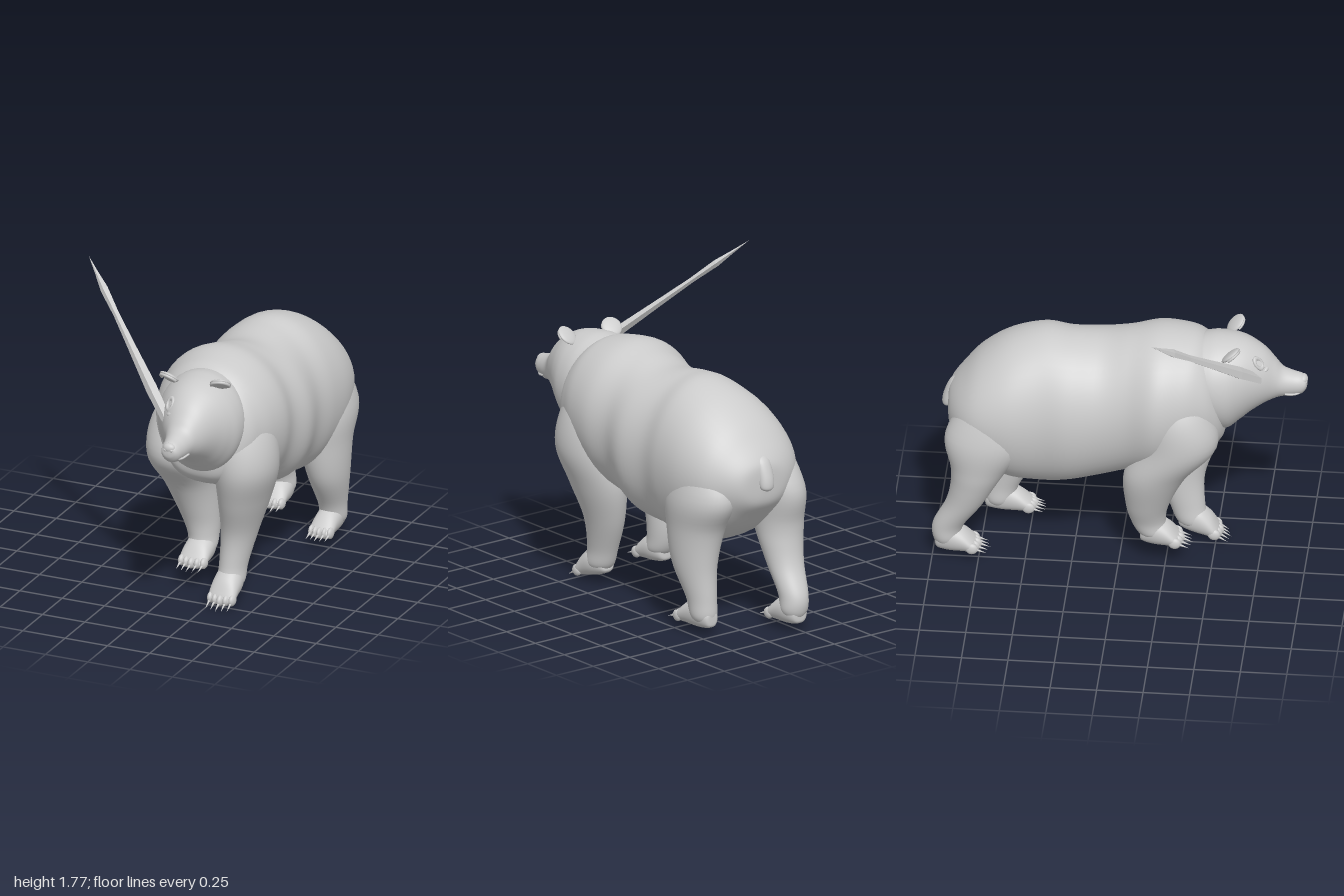
import * as THREE from 'three';

const grey = new THREE.MeshStandardMaterial({ color: 0xcccccc });
const faceted = new THREE.MeshStandardMaterial({ color: 0xcccccc, flatShading: true, side: THREE.DoubleSide });

// Smooth interpolation through rows of numbers
function sample(rows, t) {
  const f = t * (rows.length - 1), i = Math.min(Math.floor(f), rows.length - 2), u = f - i;
  const row = (k) => rows[Math.max(0, Math.min(rows.length - 1, k))];
  const [a, b, c, d] = [row(i - 1), row(i), row(i + 1), row(i + 2)];
  return b.map((_, k) => b[k] + 0.5 * u * (c[k] - a[k]
    + u * (2 * a[k] - 5 * b[k] + 4 * c[k] - d[k] + u * (3 * (b[k] - c[k]) + d[k] - a[k]))));
}

// Closed skin over elliptical sections [x, y, z, rx, r2];
// axis 'z' runs back to front, axis 'y' runs top to bottom
function loft(name, rows, axis, squareness = 1) {
  const around = 48, along = (rows.length - 1) * 6, pos = [], index = [];
  for (let j = 0; j <= along; j++) {
    let [x, y, z, rx, r2] = sample(rows, j / along);
    rx = Math.max(rx, 0.001);
    r2 = Math.max(r2, 0.001);
    for (let i = 0; i < around; i++) {
      const a = (i / around) * Math.PI * 2, s = Math.sin(a);
      let c = Math.cos(a);
      if (s < 0) c = Math.sign(c) * Math.abs(c) ** squareness;
      if (axis === 'z') pos.push(x + rx * c, y + r2 * s, z);
      else pos.push(x + rx * c, y, z + r2 * s);
      if (j < along) {
        const p = j * around + i, q = j * around + (i + 1) % around;
        index.push(p, q, p + around, q, q + around, p + around);
      }
    }
  }
  // end caps
  for (const end of [0, along]) {
    const p = sample(rows, end / along), centre = pos.length / 3, o = end * around;
    pos.push(p[0], p[1], p[2]);
    for (let i = 0; i < around; i++) {
      const n = (i + 1) % around;
      if (end) index.push(centre, o + i, o + n);
      else index.push(centre, o + n, o + i);
    }
  }
  const g = new THREE.BufferGeometry();
  g.setAttribute('position', new THREE.Float32BufferAttribute(pos, 3));
  g.setIndex(index);
  g.computeVertexNormals();
  const mesh = new THREE.Mesh(g, grey);
  mesh.name = name;
  return mesh;
}

// Sections given as [z, x, top, bottom, halfWidth]
const bands = (list) => list.map(([z, x, t, b, w]) => [x, (t + b) / 2, z, w, (t - b) / 2]);
// Sections given as [y, x, z, rx, rz]
const slices = (list) => list.map(([y, x, z, rx, rz]) => [x, y, z, rx, rz]);

function blob(name, p, r, rot = [0, 0, 0]) {
  const m = new THREE.Mesh(new THREE.SphereGeometry(1, 24, 16), grey);
  m.name = name;
  m.position.set(...p);
  m.scale.set(...r);
  m.rotation.set(...rot);
  return m;
}

// Paw with five toes and claws; origin at the middle of the sole
function paw(name, p, length, width, pitch) {
  const g = new THREE.Group();
  g.name = name;
  g.add(loft('foot', bands([
    [-length * 0.5, 0, 0.07, 0.04, 0.01], [-length * 0.46, 0, 0.11, 0.012, width * 0.3],
    [-length * 0.2, 0, 0.16, 0, width * 0.46], [length * 0.12, 0, 0.13, 0, width * 0.49],
    [length * 0.36, 0, 0.075, 0.002, width * 0.47], [length * 0.46, 0, 0.045, 0.015, width * 0.3],
  ]), 'z', 0.7));
  for (let i = -2; i <= 2; i++) {
    const x = i * width * 0.195, z = length * 0.4 - Math.abs(i) * 0.008;
    g.add(blob('toe', [x, 0.034, z], [width * 0.12, 0.032, 0.034]));
    const claw = new THREE.Mesh(new THREE.ConeGeometry(0.009, 0.065, 8), grey);
    claw.name = 'claw';
    claw.position.set(x, 0.022, z + 0.05);
    claw.rotation.x = Math.PI / 2 + 0.3;
    g.add(claw);
  }
  g.position.set(...p);
  g.rotation.x = pitch;
  return g;
}

export function createModel() {
  const bear = new THREE.Group();
  bear.name = 'bear';

  bear.add(loft('torso', bands([
    [-0.93, 0.21, 0.94, 0.84, 0.03], [-0.915, 0.21, 1.0, 0.76, 0.15], [-0.85, 0.2, 1.09, 0.68, 0.25],
    [-0.75, 0.205, 1.2, 0.58, 0.325], [-0.6, 0.21, 1.3, 0.49, 0.36], [-0.42, 0.215, 1.354, 0.46, 0.353],
    [-0.27, 0.2, 1.345, 0.48, 0.348], [-0.1, 0.225, 1.332, 0.51, 0.348], [0.05, 0.21, 1.365, 0.56, 0.338],
    [0.2, 0.2, 1.4, 0.6, 0.37], [0.34, 0.21, 1.388, 0.65, 0.345], [0.43, 0.215, 1.36, 0.69, 0.31],
    [0.5, 0.22, 1.285, 0.72, 0.27], [0.55, 0.22, 1.13, 0.77, 0.2], [0.57, 0.22, 0.99, 0.83, 0.07],
  ]), 'z', 0.8));

  // Legs, from shoulder or hip down to the ankle
  bear.add(loft('frontLegLeft', slices([
    [1.27, 0.29, 0.32, 0.02, 0.03], [1.17, 0.34, 0.33, 0.12, 0.13], [1.0, 0.382, 0.35, 0.17, 0.185],
    [0.8, 0.405, 0.355, 0.17, 0.208], [0.6, 0.378, 0.318, 0.135, 0.188], [0.4, 0.345, 0.305, 0.098, 0.132],
    [0.22, 0.325, 0.342, 0.076, 0.096], [0.12, 0.322, 0.372, 0.072, 0.086], [0.08, 0.32, 0.38, 0.03, 0.04],
  ]), 'y'));
  bear.add(loft('frontLegRight', slices([
    [1.27, 0.13, 0.28, 0.02, 0.03], [1.17, 0.075, 0.29, 0.12, 0.13], [1.0, 0.018, 0.32, 0.17, 0.185],
    [0.8, 0.002, 0.325, 0.175, 0.208], [0.6, 0.01, 0.2, 0.147, 0.17], [0.4, 0.04, 0.155, 0.11, 0.12],
    [0.28, 0.06, 0.155, 0.085, 0.095], [0.2, 0.065, 0.18, 0.074, 0.08], [0.17, 0.065, 0.19, 0.03, 0.04],
  ]), 'y'));
  bear.add(loft('hindLegLeft', slices([
    [1.18, 0.3, -0.6, 0.02, 0.03], [1.05, 0.355, -0.61, 0.13, 0.13], [0.8, 0.412, -0.63, 0.163, 0.24],
    [0.6, 0.43, -0.597, 0.137, 0.187], [0.4, 0.445, -0.605, 0.108, 0.145], [0.22, 0.442, -0.66, 0.078, 0.093],
    [0.12, 0.44, -0.677, 0.07, 0.077], [0.07, 0.44, -0.68, 0.03, 0.04],
  ]), 'y'));
  bear.add(loft('hindLegRight', slices([
    [1.18, 0.12, -0.64, 0.02, 0.03], [1.05, 0.06, -0.66, 0.13, 0.13], [0.8, 0.008, -0.69, 0.162, 0.24],
    [0.6, -0.008, -0.745, 0.137, 0.155], [0.48, -0.005, -0.782, 0.12, 0.12], [0.36, 0.002, -0.83, 0.1, 0.1],
    [0.22, 0.015, -0.912, 0.08, 0.085], [0.13, 0.02, -0.925, 0.074, 0.072], [0.07, 0.02, -0.92, 0.03, 0.04],
  ]), 'y'));

  bear.add(paw('frontPawLeft', [0.322, 0.047, 0.405], 0.24, 0.16, 0.25));
  bear.add(paw('frontPawRight', [0.065, 0.13, 0.225], 0.23, 0.165, 0.05));
  bear.add(paw('hindPawLeft', [0.44, 0.055, -0.615], 0.28, 0.14, 0));
  bear.add(paw('hindPawRight', [0.02, 0.055, -0.865], 0.24, 0.16, 0));

  // Stubby tail, hanging clear of the rump
  bear.add(loft('tail', slices([
    [1.04, 0.21, -0.86, 0.02, 0.02], [1.0, 0.21, -0.885, 0.045, 0.04], [0.92, 0.21, -0.92, 0.046, 0.038],
    [0.86, 0.212, -0.935, 0.04, 0.03], [0.84, 0.212, -0.938, 0.008, 0.008],
  ]), 'y'));

  // Head
  const head = new THREE.Group();
  head.name = 'head';
  head.add(loft('skull', bands([
    [0.34, 0.21, 1.2, 1.0, 0.02], [0.4, 0.21, 1.33, 0.9, 0.2], [0.48, 0.215, 1.362, 0.84, 0.242],
    [0.57, 0.222, 1.362, 0.815, 0.24], [0.64, 0.227, 1.35, 0.865, 0.21], [0.7, 0.23, 1.325, 0.915, 0.175],
    [0.77, 0.235, 1.275, 0.96, 0.132], [0.825, 0.238, 1.212, 0.985, 0.094], [0.865, 0.238, 1.165, 0.998, 0.077],
    [0.92, 0.239, 1.142, 1.005, 0.064], [0.965, 0.239, 1.13, 1.015, 0.053], [0.99, 0.238, 1.11, 1.045, 0.036],
    [0.996, 0.238, 1.09, 1.07, 0.005],
  ]), 'z'));
  head.add(blob('nose', [0.238, 1.1, 0.974], [0.036, 0.028, 0.025]));
  for (const side of [-1, 1]) {
    head.add(blob('nostril', [0.238 + side * 0.017, 1.092, 0.99], [0.01, 0.009, 0.008]));
    head.add(blob('eye', [0.226 + side * 0.062, 1.19, 0.795], [0.014, 0.011, 0.012]));
    head.add(blob('brow', [0.226 + side * 0.062, 1.21, 0.775], [0.035, 0.014, 0.02], [0, 0, -side * 0.25]));
    // cupped ear leaning forward: thin shell with a raised rim
    const ear = new THREE.Group();
    ear.name = side > 0 ? 'earLeft' : 'earRight';
    ear.add(blob('earShell', [0, 0, 0], [0.057, 0.06, 0.016]));
    const rim = new THREE.Mesh(new THREE.TorusGeometry(0.048, 0.009, 10, 28, Math.PI), grey);
    rim.name = 'earRim';
    rim.position.z = 0.01;
    ear.add(rim);
    ear.position.set(0.214 + side * 0.15, 1.345 + side * 0.006, 0.598);
    ear.rotation.set(0.85, side * 0.2, -side * 0.25);
    head.add(ear);
  }
  // Mouth: lips sagging along the muzzle
  const lips = new THREE.CatmullRomCurve3([
    [0.168, 1.04, 0.88], [0.188, 1.032, 0.94], [0.238, 1.04, 0.98], [0.288, 1.032, 0.94], [0.308, 1.04, 0.88],
  ].map((p) => new THREE.Vector3(...p)));
  const mouth = new THREE.Mesh(new THREE.TubeGeometry(lips, 24, 0.006, 8), grey);
  mouth.name = 'mouth';
  head.add(mouth, blob('lowerJaw', [0.237, 1.025, 0.9], [0.05, 0.022, 0.06]));

  // Scar above the right eye
  const scar = new THREE.Mesh(new THREE.TorusGeometry(0.022, 0.009, 8, 20), grey);
  scar.name = 'scar';
  scar.position.set(0.135, 1.25, 0.742);
  scar.rotation.set(-0.6, -0.5, 0);
  scar.scale.y = 1.5;
  head.add(scar);
  bear.add(head);

  // Long splinter lodged in the right side of the head
  const base = new THREE.Vector3(0.13, 1.15, 0.76), tip = new THREE.Vector3(-0.585, 1.79, 0.23);
  const along = tip.clone().sub(base), len = along.length();
  const profile = [[0, 0], [0.03, 0.02], [0.037, 0.2], [0.026, 0.45], [0.019, 0.65], [0.025, 0.8], [0.011, 0.9], [0, 1]];
  const splinter = new THREE.Mesh(
    new THREE.LatheGeometry(profile.map(([r, t]) => new THREE.Vector2(r, t * len)), 5), faceted);
  splinter.name = 'splinter';
  splinter.position.copy(base);
  splinter.quaternion.setFromUnitVectors(new THREE.Vector3(0, 1, 0), along.normalize());
  splinter.scale.z = 0.6;
  bear.add(splinter);

  return bear;
}
